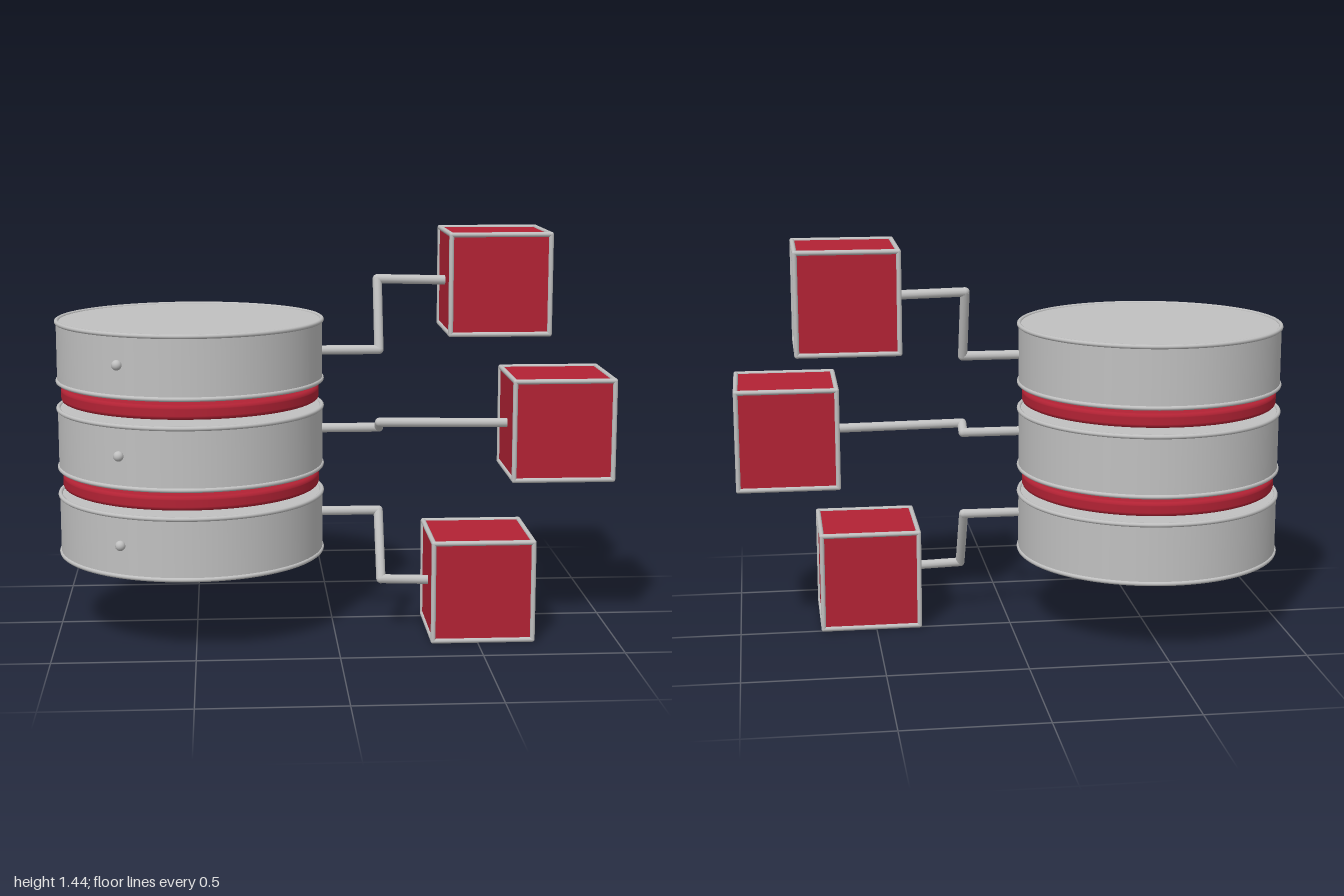
import * as THREE from 'three';

export function createModel() {
  const model = new THREE.Group();
  model.name = 'stackedDrumWithBlocks';

  const silver = new THREE.MeshStandardMaterial({ color: 0xc0c0c0 });
  silver.name = 'silver';
  const red = new THREE.MeshStandardMaterial({ color: 0xb22234 });
  red.name = 'red';

  const DRUM_X = -0.515;

  function add(parent, name, geometry, material, x = 0, y = 0, z = 0) {
    const mesh = new THREE.Mesh(geometry, material);
    mesh.name = name;
    mesh.position.set(x, y, z);
    parent.add(mesh);
    return mesh;
  }

  // Round bar between two points
  function addBar(parent, name, a, b, radius, sides) {
    const dir = new THREE.Vector3().subVectors(b, a);
    const mid = new THREE.Vector3().addVectors(a, b).multiplyScalar(0.5);
    const bar = add(parent, name, new THREE.CylinderGeometry(radius, radius, dir.length(), sides), silver, mid.x, mid.y, mid.z);
    bar.quaternion.setFromUnitVectors(new THREE.Vector3(0, 1, 0), dir.normalize());
  }

  // Three silver drums with rounded rims and a small knob
  [0.39, 0.705, 1.02].forEach((y, i) => {
    const drum = new THREE.Group();
    drum.name = 'drum' + (i + 1);
    drum.position.set(DRUM_X, y, 0);
    model.add(drum);
    add(drum, 'drumBody', new THREE.CylinderGeometry(0.479, 0.479, 0.217, 96), silver);
    for (const s of [-1, 1]) {
      const rim = add(drum, 'drumRim', new THREE.TorusGeometry(0.477, 0.008, 10, 96), silver, 0, s * 0.107, 0);
      rim.rotation.x = Math.PI / 2;
    }
    add(drum, 'knob', new THREE.SphereGeometry(0.018, 16, 12), silver, -0.242, 0.004, 0.421);
  });

  // Red spacer discs with rounded edges
  const edge = [[0, -0.025], [0.455, -0.025], [0.457, -0.025], [0.463, -0.022], [0.466, -0.015],
    [0.466, -0.012], [0.466, 0.012], [0.466, 0.015], [0.463, 0.022], [0.457, 0.025], [0.455, 0.025], [0, 0.025]];
  const spacer = new THREE.LatheGeometry(edge.map(([r, y]) => new THREE.Vector2(r, y)), 96);
  [0.549, 0.865].forEach((y, i) => add(model, 'spacerDisc' + (i + 1), spacer, red, DRUM_X, y, 0));

  // Red block with a silver tube along each edge
  function addBlock(name, centre) {
    const block = new THREE.Group();
    block.name = name;
    block.position.copy(centre);
    model.add(block);
    add(block, 'blockBody', new THREE.BoxGeometry(0.358, 0.358, 0.358), red);
    const h = 0.178;
    const r = 0.009;
    for (const u of [-h, h]) {
      for (const v of [-h, h]) {
        for (const axis of [0, 1, 2]) {
          const a = new THREE.Vector3();
          a.setComponent((axis + 1) % 3, u);
          a.setComponent((axis + 2) % 3, v);
          const b = a.clone();
          a.setComponent(axis, -h);
          b.setComponent(axis, h);
          addBar(block, 'frameBar', a, b, r, 10);
        }
        for (const w of [-h, h]) add(block, 'frameCorner', new THREE.SphereGeometry(r, 10, 8), silver, u, v, w);
      }
    }
  }

  // Cranked arm from a drum to each block
  const arms = [
    { name: 'lower', y: 0.42, centre: new THREE.Vector3(0.518, 0.188, 0.172) },
    { name: 'middle', y: 0.73, centre: new THREE.Vector3(0.812, 0.75, 0.086) },
    { name: 'upper', y: 1.016, centre: new THREE.Vector3(0.595, 1.258, -0.044) },
  ];
  for (const { name, y, centre } of arms) {
    addBlock(name + 'Block', centre);
    const arm = new THREE.Group();
    arm.name = name + 'Arm';
    model.add(arm);
    const path = [
      new THREE.Vector3(-0.06, y, 0.042),
      new THREE.Vector3(0.168, y, 0.042),
      new THREE.Vector3(0.168, centre.y + 0.006, centre.z),
      new THREE.Vector3(centre.x - 0.17, centre.y, centre.z),
    ];
    for (let i = 0; i < 3; i++) addBar(arm, 'armRod', path[i], path[i + 1], 0.017, 12);
    for (const p of path.slice(1, 3)) add(arm, 'armJoint', new THREE.SphereGeometry(0.017, 12, 10), silver, p.x, p.y, p.z);
  }

  return model;
}
